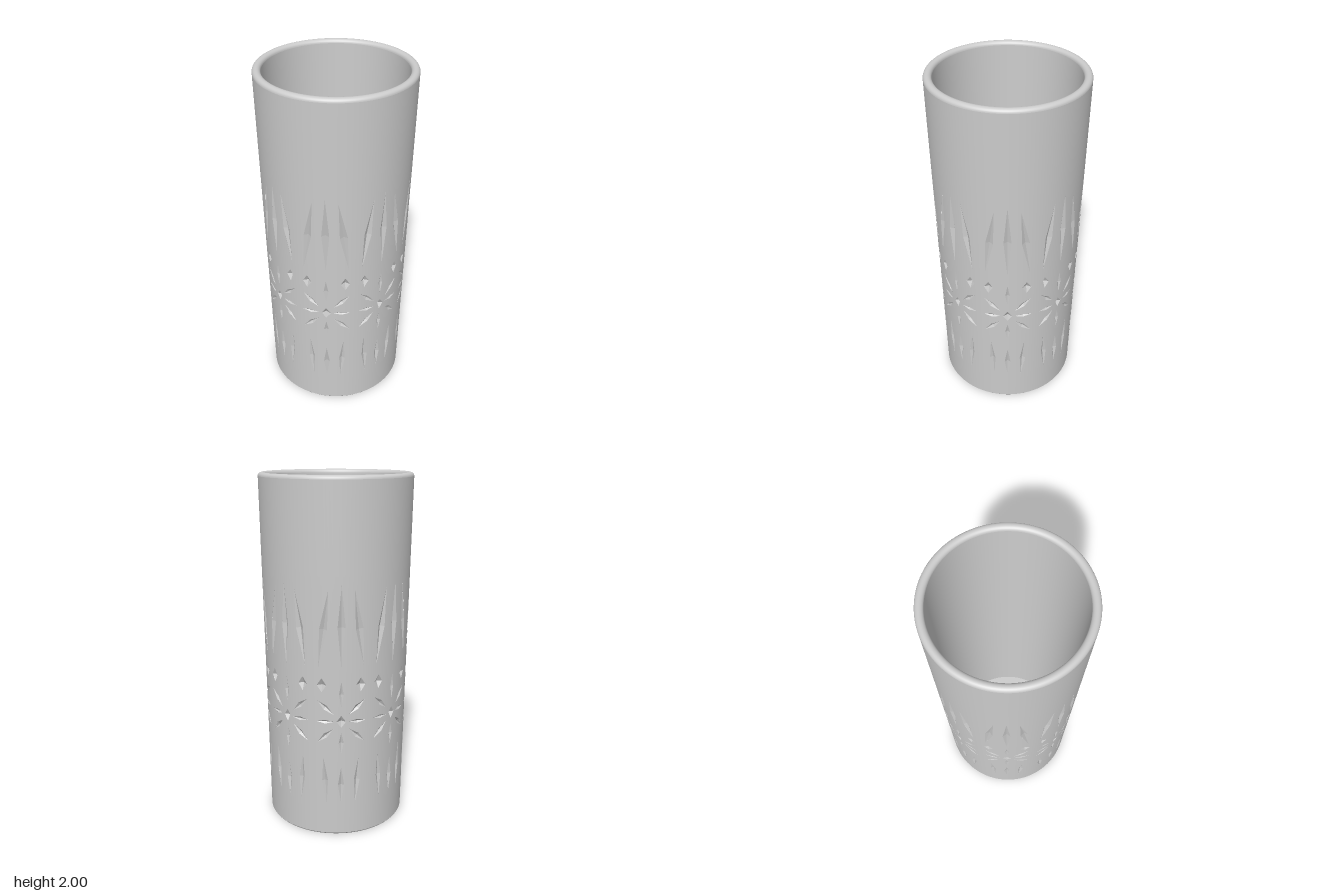
import * as THREE from 'three';

const MOTIFS = 8, COLS = 16, SECTOR = (Math.PI * 2) / MOTIFS;
const BAND_LOW = 0.17, BAND_HIGH = 1.5;
const outerRadius = (y) => 0.4 + 0.0125 * y;

// Wrap an unrolled point (arc length x, height y) on to the tapered wall.
const wrap = (x, y, turn, depth = 0) => {
  const a = x / 0.41 + turn, r = outerRadius(y) - depth;
  return [Math.sin(a) * r, y, Math.cos(a) * r];
};

// Lozenge between two tips, corners counter-clockwise.
function lozenge(x1, y1, x2, y2, half) {
  const dx = x2 - x1, dy = y2 - y1, l = Math.hypot(dx, dy);
  const mx = (x1 + x2) / 2, my = (y1 + y2) / 2;
  const px = (dy / l) * half, py = (-dx / l) * half;
  const corners = [[x1, y1], [mx + px, my + py], [x2, y2], [mx - px, my - py]]
    .map(([x, y]) => new THREE.Vector2(x, y));
  return { corners, centre: [mx, my], depth: half * 0.75 };
}

// All cuts of one motif.
function motifCuts() {
  const cuts = [
    lozenge(0, 1.005, 0, 1.455, 0.021),  // tall middle spike
    lozenge(0, 0.205, 0, 0.425, 0.018),  // short middle spike
    lozenge(0, 0.665, 0, 0.735, 0.026),  // flower heart
    lozenge(0, 0.785, 0, 0.93, 0.013),   // upper petal
    lozenge(0, 0.51, 0, 0.635, 0.014),   // lower petal
  ];
  for (const s of [-1, 1]) {
    cuts.push(
      lozenge(s * 0.124, 1.01, s * 0.068, 1.43, 0.021),
      lozenge(s * 0.107, 0.87, s * 0.107, 0.95, 0.026),
      lozenge(s * 0.082, 0.2, s * 0.1, 0.485, 0.017),
      lozenge(s * 0.04, 0.7, s * 0.137, 0.7, 0.011),
      lozenge(s * 0.043, 0.742, s * 0.132, 0.823, 0.014),
      lozenge(s * 0.043, 0.658, s * 0.132, 0.577, 0.014),
    );
  }
  return cuts;
}

// Keep the part of a convex polygon on one side of a vertical line.
function clip(poly, x, sign) {
  const out = [];
  poly.forEach((p, i) => {
    const q = poly[(i + 1) % poly.length];
    const dp = (p.x - x) * sign, dq = (q.x - x) * sign;
    if (dp >= 0) out.push(p);
    if ((dp > 0 && dq < 0) || (dp < 0 && dq > 0)) out.push(p.clone().lerp(q, dp / (dp - dq)));
  });
  return out;
}

// Pierced wall of one motif as narrow columns, so that it follows the curve.
function wallTriangles(cuts) {
  const w = (SECTOR / 2) * 0.41, step = (2 * w) / COLS;
  const contour = [[-w, BAND_LOW], [w, BAND_LOW], [w, BAND_HIGH], [-w, BAND_HIGH]]
    .map(([x, y]) => new THREE.Vector2(x, y));
  const holes = cuts.map((c) => c.corners.slice().reverse());
  const points = [contour, ...holes].flat();
  const triangles = [];
  for (const face of THREE.ShapeUtils.triangulateShape(contour, holes)) {
    const tri = face.map((i) => points[i]);
    for (let k = 0; k < COLS; k++) {
      const left = -w + k * step;
      const poly = clip(clip(tri, left, 1), left + step, -1);
      for (let i = 2; i < poly.length; i++) triangles.push(poly[0], poly[i - 1], poly[i]);
    }
  }
  return triangles;
}

function geometryFrom(positions, normals) {
  const g = new THREE.BufferGeometry();
  g.setAttribute('position', new THREE.Float32BufferAttribute(positions, 3));
  if (normals) g.setAttribute('normal', new THREE.Float32BufferAttribute(normals, 3));
  else g.computeVertexNormals();
  return g;
}

export function createModel() {
  const group = new THREE.Group();
  group.name = 'cutTumbler';
  const material = new THREE.MeshStandardMaterial({ color: 0xcccccc });
  const add = (name, geometry) => {
    const mesh = new THREE.Mesh(geometry, material);
    mesh.name = name;
    group.add(mesh);
  };
  const lathe = (name, pts) => add(name, new THREE.LatheGeometry(
    pts.map(([x, y]) => new THREE.Vector2(x, y)), MOTIFS * COLS));

  // Base, plain wall bands, rounded rim, inside wall and floor
  lathe('base', [[0, 0], [0.394, 0]]);
  lathe('baseEdge', [[0.394, 0], [outerRadius(0.008), 0.008]]);
  lathe('lowerWall', [[outerRadius(0.008), 0.008], [outerRadius(BAND_LOW), BAND_LOW]]);
  lathe('upperWall', [[outerRadius(BAND_HIGH), BAND_HIGH], [outerRadius(1.98), 1.98]]);
  const rim = [];
  for (let i = 0; i <= 12; i++) {
    const a = (i / 12) * Math.PI;
    rim.push([0.4025 + Math.cos(a) * 0.0223, 1.98 + Math.sin(a) * 0.02]);
  }
  lathe('rim', rim);
  lathe('insideWall', [[0.3802, 1.98], [0.348, 0.08]]);
  lathe('floor', [[0.348, 0.08], [0, 0.08]]);

  // Decorated band: wall with openings, and a faceted pit in each opening
  const cuts = motifCuts(), triangles = wallTriangles(cuts);
  const wall = [], wallNormals = [], pits = [];
  for (let m = 0; m < MOTIFS; m++) {
    const turn = m * SECTOR;
    for (const p of triangles) {
      const a = p.x / 0.41 + turn;
      wall.push(...wrap(p.x, p.y, turn));
      wallNormals.push(Math.sin(a), -0.0125, Math.cos(a));
    }
    for (const { corners, centre, depth } of cuts) {
      corners.forEach((p, i) => {
        const q = corners[(i + 1) % 4];
        pits.push(...wrap(p.x, p.y, turn), ...wrap(q.x, q.y, turn),
          ...wrap(centre[0], centre[1], turn, depth));
      });
    }
  }
  add('decoratedWall', geometryFrom(wall, wallNormals));
  add('cutFacets', geometryFrom(pits));
  return group;
}
